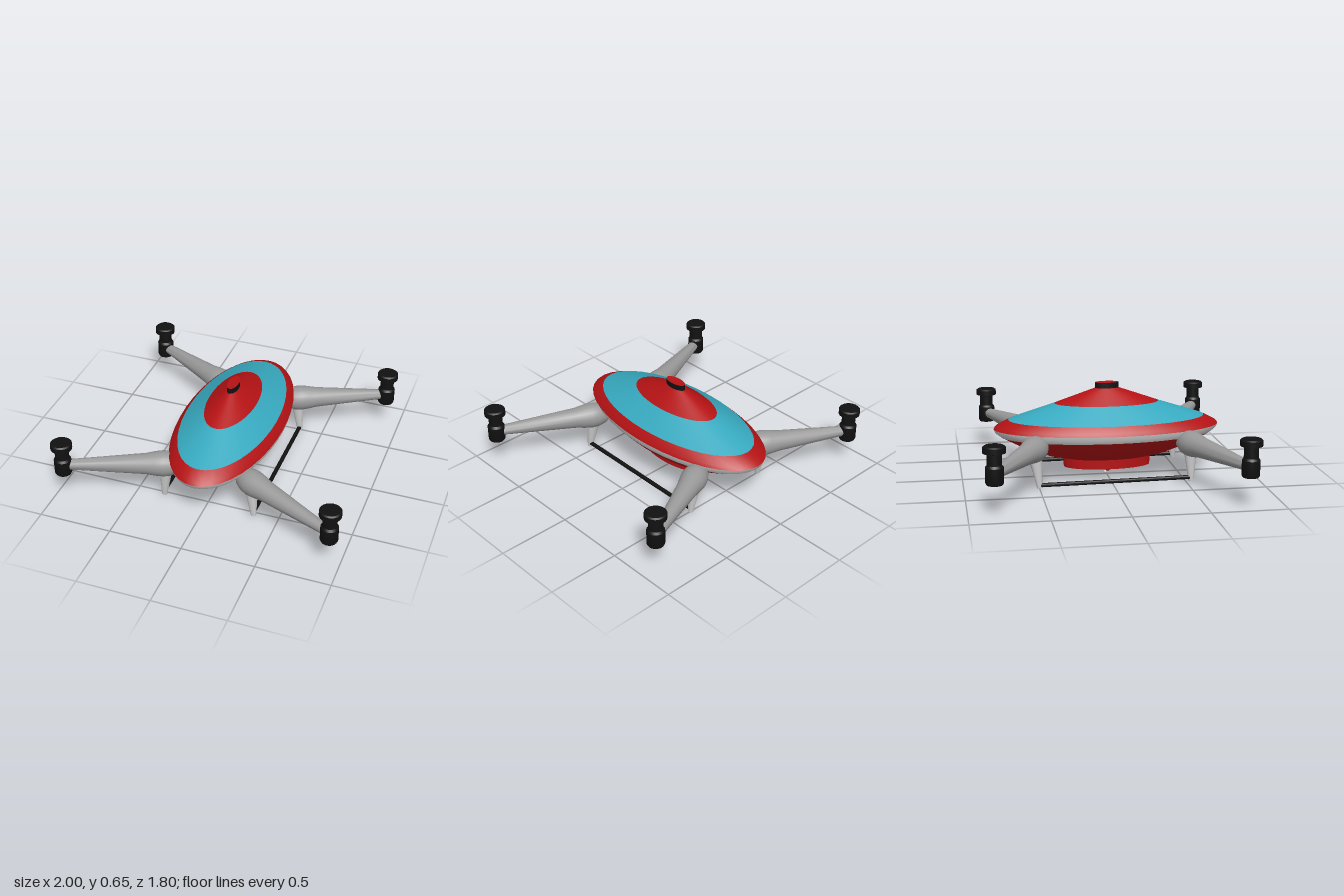
import * as THREE from 'three';
import { toCreasedNormals } from 'three/addons/utils/BufferGeometryUtils.js';

const mat = (color) => new THREE.MeshStandardMaterial({ color, side: THREE.DoubleSide });
const V = (x, y, z) => new THREE.Vector3(x, y, z);
const UP = V(0, 1, 0);

// Turned solid from [radius, height] pairs, listed bottom to top
function lathe(name, profile, material, segments = 32) {
  const points = profile.map(([r, y]) => new THREE.Vector2(r, y));
  const geo = toCreasedNormals(new THREE.LatheGeometry(points, segments), 0.6);
  const mesh = new THREE.Mesh(geo, material);
  mesh.name = name;
  return mesh;
}

// Places a mesh's own y axis along the line from a towards b
function aim(mesh, a, b) {
  mesh.position.copy(a);
  mesh.quaternion.setFromUnitVectors(UP, b.clone().sub(a).normalize());
  return mesh;
}

function rod(name, a, b, ra, rb, material) {
  return aim(lathe(name, [[0, 0], [ra, 0], [rb, a.distanceTo(b)], [0, a.distanceTo(b)]], material, 16), a, b);
}

export function createModel() {
  const model = new THREE.Group();
  const red = mat(0xb51214), blue = mat(0x37a9bf), white = mat(0xcccccc);
  const grey = mat(0x999999), black = mat(0x111111);

  // Oval body, stacked in coloured bands
  const body = new THREE.Group();
  body.name = 'body';
  body.scale.x = 0.36 / 0.78;
  body.add(
    lathe('belly', [[0, 0.075], [0.3, 0.075], [0.305, 0.14], [0.43, 0.168], [0.6, 0.232], [0.735, 0.303]], red, 40),
    lathe('whiteBand', [[0.735, 0.303], [0.77, 0.33], [0.78, 0.355]], white, 40),
    lathe('rim', [[0.78, 0.355], [0.76, 0.375], [0.68, 0.415]], red, 40),
    lathe('blueBand', [[0.68, 0.415], [0.36, 0.52]], blue, 40),
    lathe('upperCone', [[0.36, 0.52], [0.08, 0.62]], red, 40),
    lathe('capRing', [[0.082, 0.615], [0.082, 0.658]], black, 24),
    lathe('capTop', [[0.082, 0.658], [0, 0.652]], red, 24),
  );
  model.add(body);

  // Small camera hanging below the belly
  const camera = new THREE.Group();
  camera.name = 'bellyCamera';
  const ball = new THREE.Mesh(new THREE.SphereGeometry(0.022, 16, 12), red);
  ball.name = 'cameraBall';
  ball.position.set(0, 0.05, 0.005);
  const lens = new THREE.Mesh(new THREE.SphereGeometry(0.013, 12, 10), white);
  lens.name = 'cameraLens';
  lens.position.set(0, 0.022, -0.01);
  camera.add(ball, lens, rod('cameraStem', V(0, 0.05, 0.005), V(0, 0.08, 0), 0.012, 0.015, red));
  model.add(camera);

  // Arms: shoulder x, z, motor x, z, foot x, y, z
  const arms = [
    ['frontLeft', 0.31, 0.52, 0.925, 0.825, 0.335, 0.02, 0.54],
    ['frontRight', -0.29, 0.525, -0.93, 0.765, -0.305, 0.02, 0.53],
    ['backLeft', 0.31, -0.51, 0.895, -0.775, 0.335, 0.01, -0.5],
    ['backRight', -0.285, -0.525, -0.85, -0.83, -0.305, 0.015, -0.5],
  ];
  for (const [label, sx, sz, mx, mz, fx, fy, fz] of arms) {
    const shoulder = V(sx, 0.277, sz), hub = V(mx, 0.275, mz);
    const length = shoulder.distanceTo(hub);

    // Tapered arm with a rounded shoulder sunk into the hull
    const arm = lathe(label + 'Arm', [
      [0, -0.125], [0.035, -0.112], [0.064, -0.08], [0.083, -0.03], [0.088, 0.015],
      [0.082, 0.07], [0.071, 0.13], [0.037, length - 0.07], [0.033, length],
    ], grey, 24);
    model.add(aim(arm, shoulder, hub));

    // Motor pod with a narrow neck and wide cap
    const motor = lathe(label + 'Motor', [
      [0, 0.21], [0.052, 0.21], [0.058, 0.222], [0.058, 0.32], [0.047, 0.335], [0.047, 0.405],
      [0.072, 0.412], [0.072, 0.448], [0.062, 0.456], [0, 0.456],
    ], black, 24);
    motor.position.set(mx, 0, mz);
    model.add(motor);

    // Landing leg
    const top = V(sx, 0.24, sz);
    model.add(rod(label + 'Leg', V(fx, fy, fz), top, 0.018, 0.046, white));
  }

  // Skid rods joining front and back feet
  for (const [label, x] of [['left', 0.335], ['right', -0.308]]) {
    model.add(rod(label + 'Skid', V(x, 0.033, -0.5), V(x, 0.045, 0.54), 0.014, 0.014, black));
  }
  return model;
}
